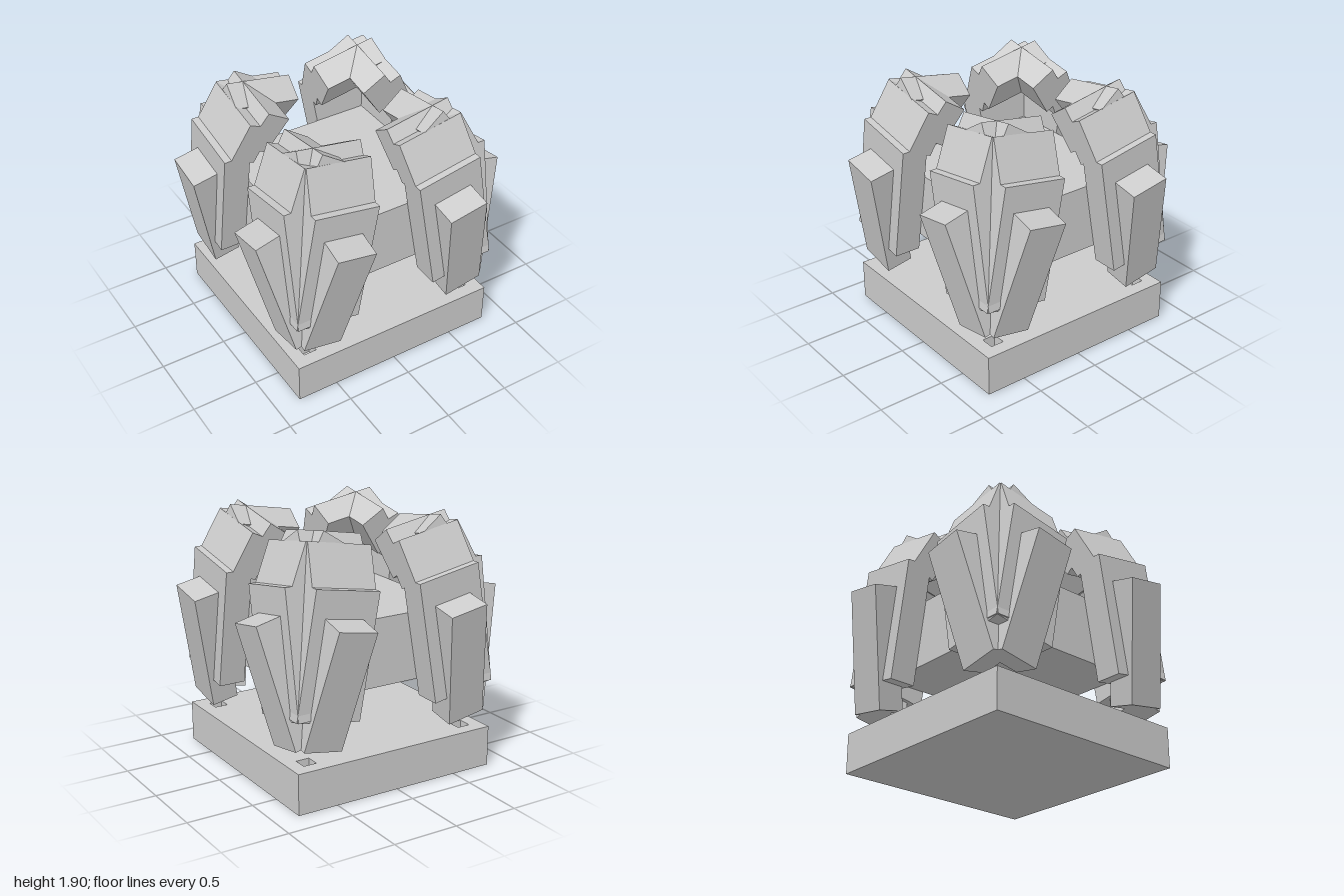
import * as THREE from 'three';

const U = 0.1016; // modelling unit
const rad = THREE.MathUtils.degToRad;
const grey = new THREE.MeshStandardMaterial({ color: 0xcccccc, flatShading: true });

function mesh(name, geometry, parent) {
  const m = new THREE.Mesh(geometry, grey);
  m.name = name;
  parent.add(m);
  return m;
}

// Box hinged on its front bottom edge at (y, z), leaning outward by a number of degrees
function leaningBox(name, parent, w, h, d, y, z, lean) {
  const m = mesh(name, new THREE.BoxGeometry(w, h, d).translate(0, h / 2, -d / 2), parent);
  m.position.set(0, y, z);
  m.rotation.x = rad(lean);
}

// One half of a corner claw, facing +z; s picks the side
function clawHalf(s) {
  const g = new THREE.Group();
  g.name = 'clawHalf';
  g.position.set(s * 0.572, 0.628, 0);
  g.rotation.z = s * rad(10);
  leaningBox('lowerPanel', g, 5 * U, 9 * U, 2 * U, 0, 0.8128, 0);
  leaningBox('upperPanel', g, 5 * U, 3.1 * U, 2 * U, 0.911, 0.76, -26);
  leaningBox('clawTip', g, 5 * U, 3 * U, 2 * U, 0.993, 0.65, -34);
  leaningBox('outerSpike', g, 3 * U, 9 * U, 2 * U, -0.216, 0.8, 12.6);
  return g;
}

function square(target, cx, cy, h) {
  target.moveTo(cx - h, cy - h);
  target.lineTo(cx + h, cy - h);
  target.lineTo(cx + h, cy + h);
  target.lineTo(cx - h, cy + h);
  target.closePath();
  return target;
}

export function createModel() {
  const model = new THREE.Group();
  model.name = 'clawPedestal';

  // Base slab, its top layer pierced by four small corner pits
  const lower = new THREE.BoxGeometry(16 * U, 2 * U, 16 * U).translate(0, U, 0);
  mesh('baseSlab', lower, model);
  const shape = square(new THREE.Shape(), 0, 0, 8 * U);
  for (const x of [-1, 1]) {
    for (const z of [-1, 1]) shape.holes.push(square(new THREE.Path(), x * 6.5 * U, z * 6.5 * U, U / 2));
  }
  const top = new THREE.ExtrudeGeometry(shape, { depth: U, bevelEnabled: false });
  top.rotateX(-Math.PI / 2).translate(0, 2 * U, 0);
  mesh('baseTop', top, model);

  // Floating core block
  const core = new THREE.BoxGeometry(12 * U, 5 * U, 12 * U).translate(0, 0.97, 0);
  mesh('coreBlock', core, model);

  // Two claw halves per side; halves of neighbouring sides meet at the corners
  for (let i = 0; i < 4; i++) {
    const side = new THREE.Group();
    side.name = 'clawSide';
    side.rotation.y = (i * Math.PI) / 2;
    side.add(clawHalf(-1), clawHalf(1));
    model.add(side);
  }
  return model;
}
